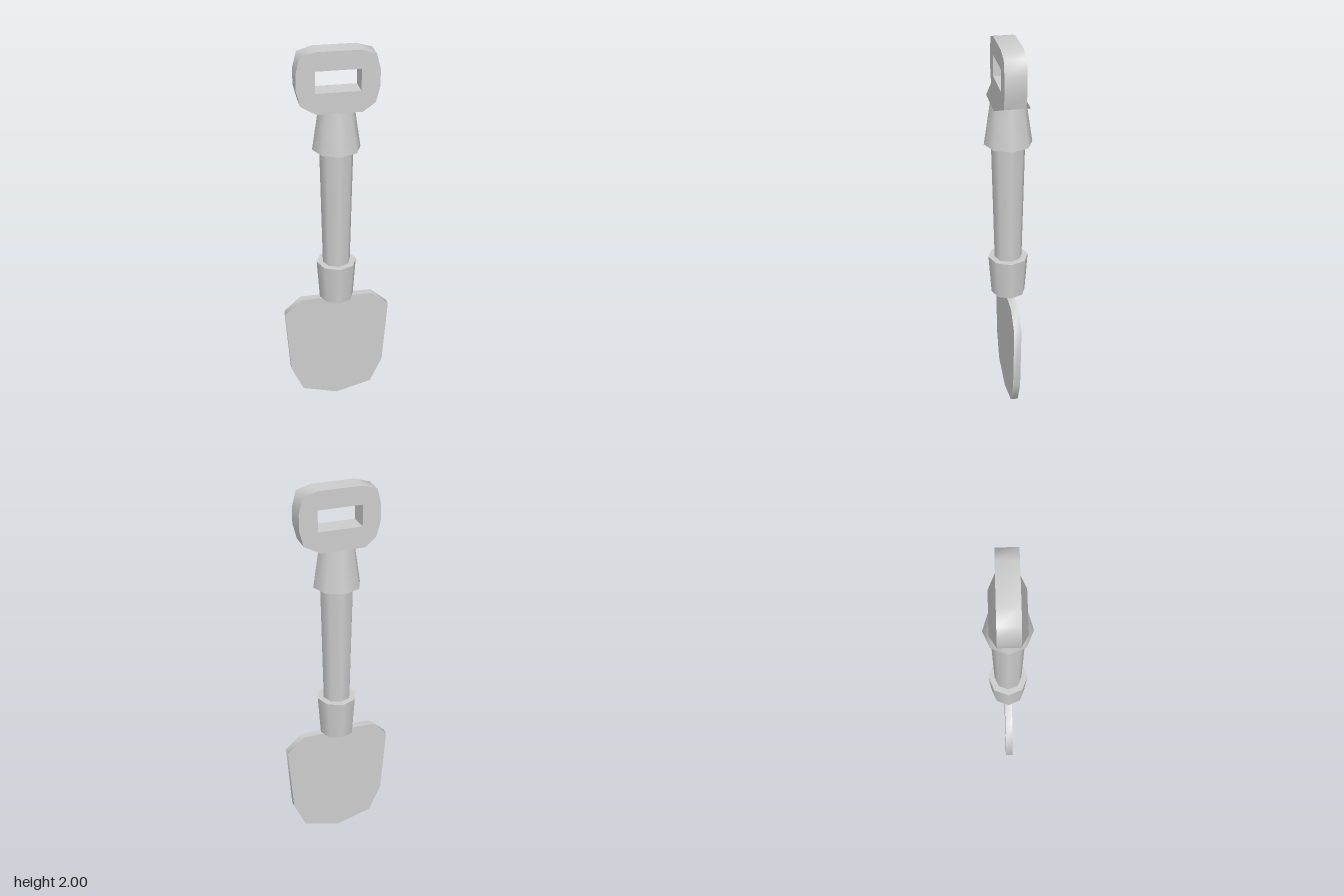
import * as THREE from 'three';
import { toCreasedNormals } from 'three/addons/utils/BufferGeometryUtils.js';

export function createModel() {
  const group = new THREE.Group();
  const grey = new THREE.MeshStandardMaterial({ color: 0xcccccc });
  grey.name = 'plain grey';

  const add = (name, geometry) => {
    const mesh = new THREE.Mesh(geometry, grey);
    mesh.name = name;
    group.add(mesh);
  };

  // Outline given for the left half from top to bottom, mirrored to the right
  const mirrored = (half) => {
    const other = half.filter(([x]) => x > 0).reverse().map(([x, y]) => [-x, y]);
    return new THREE.Shape([...half, ...other].map(([x, y]) => new THREE.Vector2(x, y)));
  };

  // Plate centred on z = 0 with a softly shaded rim
  const plate = (shape, depth) => {
    const g = new THREE.ExtrudeGeometry(shape, { depth, bevelEnabled: false });
    g.translate(0, 0, -depth / 2);
    return toCreasedNormals(g, 1.1);
  };

  // Eight-sided tapered section between two heights
  const section = (name, topRadius, bottomRadius, bottom, top) => {
    const g = new THREE.CylinderGeometry(topRadius, bottomRadius, top - bottom, 8);
    g.translate(0, (top + bottom) / 2, 0);
    add(name, g);
  };

  // Blade
  add('blade', plate(mirrored([
    [0.19, 0.645], [0.28, 0.563], [0.255, 0.2], [0.19, 0.053], [0, 0],
  ]), 0.038));

  // Shaft and its two collars
  section('lowerCollar', 0.104, 0.089, 0.647, 0.862);
  section('shaft', 0.085, 0.071, 0.85, 1.51);
  section('upperCollar', 0.088, 0.12, 1.5, 1.713);

  // Grip with a rectangular finger hole, wound against the outline
  const grip = mirrored([
    [0.105, 2], [0.18, 1.978], [0.2, 1.9], [0.2, 1.82], [0.18, 1.742],
  ]);
  grip.holes.push(new THREE.Path([
    [-0.11, 1.802], [0.11, 1.802], [0.11, 1.909], [-0.11, 1.909],
  ].map(([x, y]) => new THREE.Vector2(x, y))));
  add('grip', plate(grip, 0.105));

  // Flared foot joining the grip to the upper collar, keeping the box
  // normals so that it shades as one with the grip faces
  const foot = new THREE.BoxGeometry(0.36, 0.03, 0.105);
  const p = foot.attributes.position;
  for (let i = 0; i < p.count; i++) {
    if (p.getY(i) < 0) {
      p.setX(i, Math.sign(p.getX(i)) * 0.11);
      p.setZ(i, Math.sign(p.getZ(i)) * 0.088);
    }
  }
  foot.translate(0, 1.727, 0);
  add('gripFoot', foot);

  return group;
}
